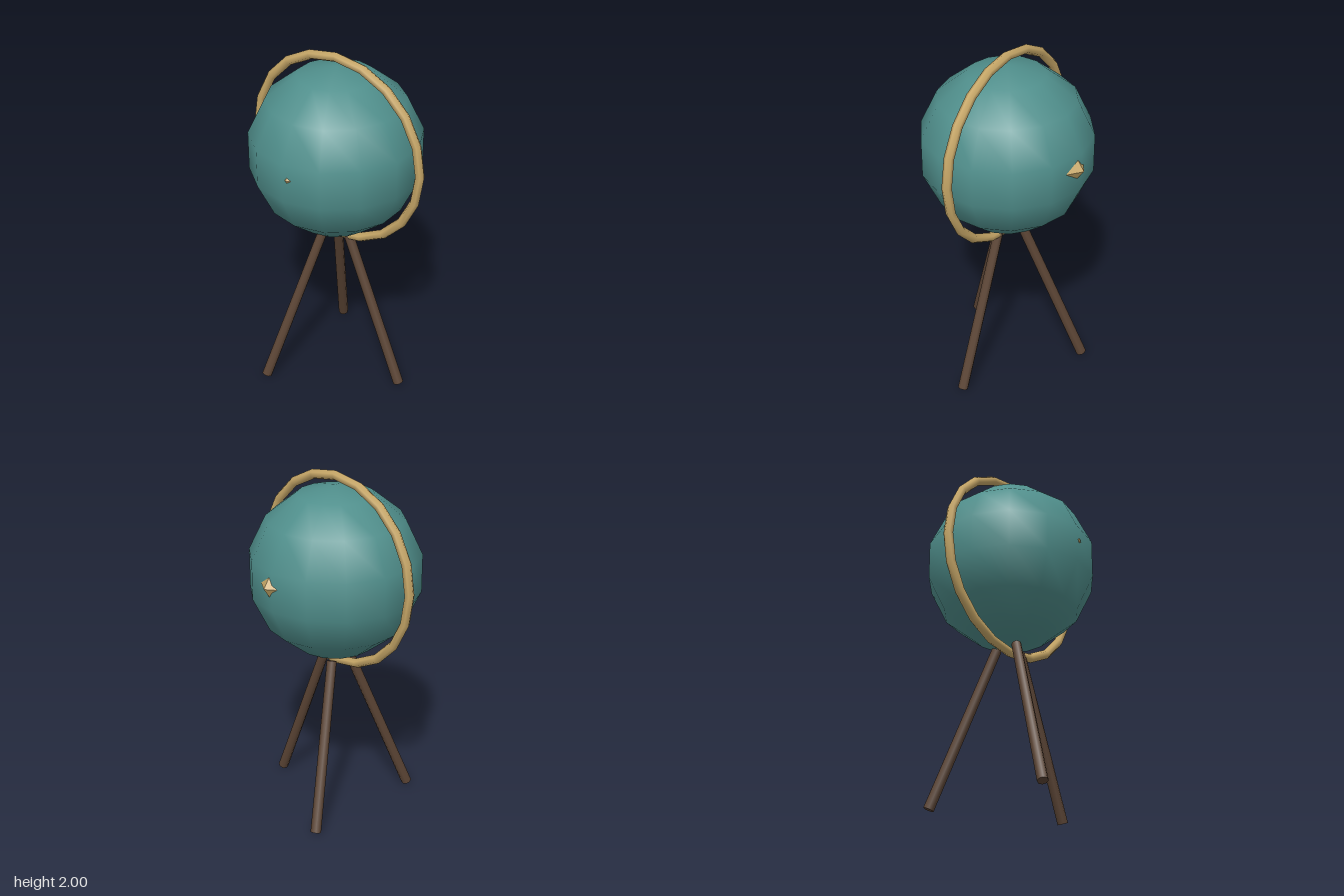
import * as THREE from 'three';

const material = (name, color, extra = {}) =>
  Object.assign(new THREE.MeshStandardMaterial({ color, ...extra }), { name });

function add(group, name, geometry, mat) {
  const mesh = new THREE.Mesh(geometry, mat);
  mesh.name = name;
  group.add(mesh);
  return mesh;
}

// Tapered cylinder running between two points
function rod(group, name, bottom, top, rBottom, rTop, mat) {
  const dir = top.clone().sub(bottom);
  const mesh = add(group, name, new THREE.CylinderGeometry(rTop, rBottom, dir.length(), 8), mat);
  mesh.position.copy(bottom).add(top).multiplyScalar(0.5);
  mesh.quaternion.setFromUnitVectors(new THREE.Vector3(0, 1, 0), dir.normalize());
}

export function createModel() {
  const group = new THREE.Group();
  group.name = 'globeOnTripod';
  const teal = material('teal', 0x508f8c);
  const brass = material('brass', 0xc8a868);
  const wood = material('darkWood', 0x5c4535);
  const centreY = 1.434, centreZ = 0.012;

  // Globe
  const globe = add(group, 'globe', new THREE.SphereGeometry(0.489, 14, 7).rotateY(Math.PI / 2), teal);
  globe.position.set(0, centreY, centreZ);

  // Meridian ring around the globe
  const ring = add(group, 'meridianRing', new THREE.TorusGeometry(0.539, 0.027, 6, 20), brass);
  ring.position.set(0, centreY, centreZ);

  // Pointed studs, mostly sunk into the globe at front and back
  for (const [name, z] of [['frontStud', 0.424], ['backStud', -0.428]]) {
    const stud = add(group, name, new THREE.OctahedronGeometry(0.1).scale(1, 1, 0.7), brass);
    stud.position.set(0.026, 1.46, z);
  }

  // Three splayed legs
  for (let i = 0; i < 3; i++) {
    const a = (i * Math.PI * 2) / 3;
    const at = (r, y) => new THREE.Vector3(r * Math.cos(a), y, r * Math.sin(a) + centreZ);
    rod(group, 'leg' + (i + 1), at(0.449, 0.012), at(0.082, 0.918), 0.03, 0.028, wood);
  }
  return group;
}
